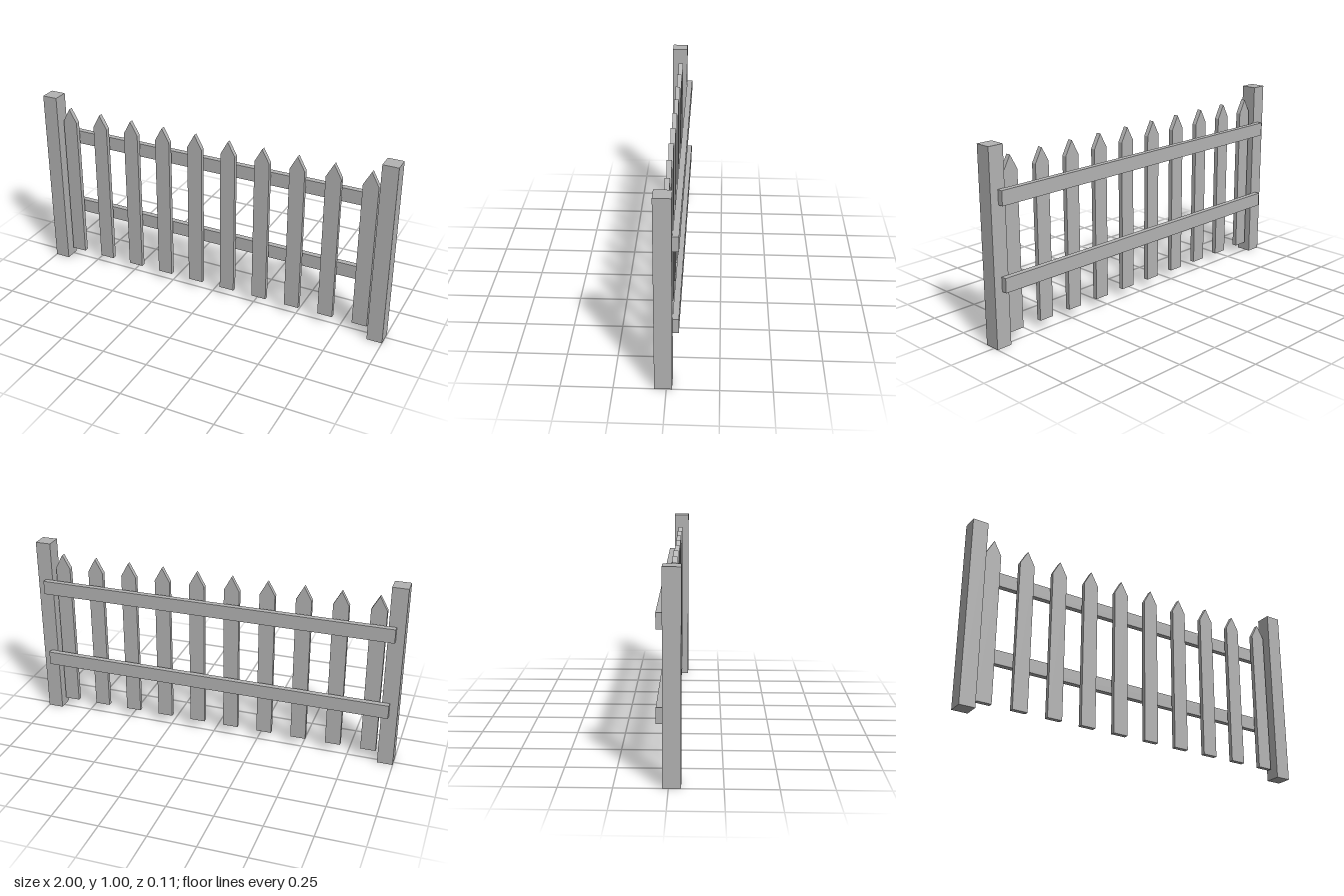
import * as THREE from 'three';

export function createModel() {
  const fence = new THREE.Group();
  fence.name = 'picketFence';
  const grey = new THREE.MeshStandardMaterial({ color: 0xb4b4b4 });
  grey.name = 'grey';

  const add = (name, geometry, x, y, z) => {
    const mesh = new THREE.Mesh(geometry, grey);
    mesh.name = name;
    mesh.position.set(x, y, z);
    fence.add(mesh);
  };

  // End posts
  const postGeometry = new THREE.BoxGeometry(0.083, 1.005, 0.084);
  add('leftPost', postGeometry, 0.9585, 0.5025, 0.015);
  add('rightPost', postGeometry, -0.9585, 0.5025, 0.015);

  // Horizontal rails fixed to the back of the posts
  const railGeometry = new THREE.BoxGeometry(1.914, 0.075, 0.03);
  add('upperRail', railGeometry, 0, 0.758, -0.042);
  add('lowerRail', railGeometry, 0, 0.327, -0.042);

  // Pointed pickets
  const halfWidth = 0.041;
  const outline = new THREE.Shape([
    new THREE.Vector2(-halfWidth, 0.052),
    new THREE.Vector2(halfWidth, 0.052),
    new THREE.Vector2(halfWidth, 0.863),
    new THREE.Vector2(0, 0.938),
    new THREE.Vector2(-halfWidth, 0.863),
  ]);
  const picketGeometry = new THREE.ExtrudeGeometry(outline, { depth: 0.025, bevelEnabled: false });
  const count = 10;
  const spacing = 0.1913;
  for (let i = 0; i < count; i++) {
    add(`picket${i + 1}`, picketGeometry, (i - (count - 1) / 2) * spacing, 0, -0.003);
  }

  return fence;
}
